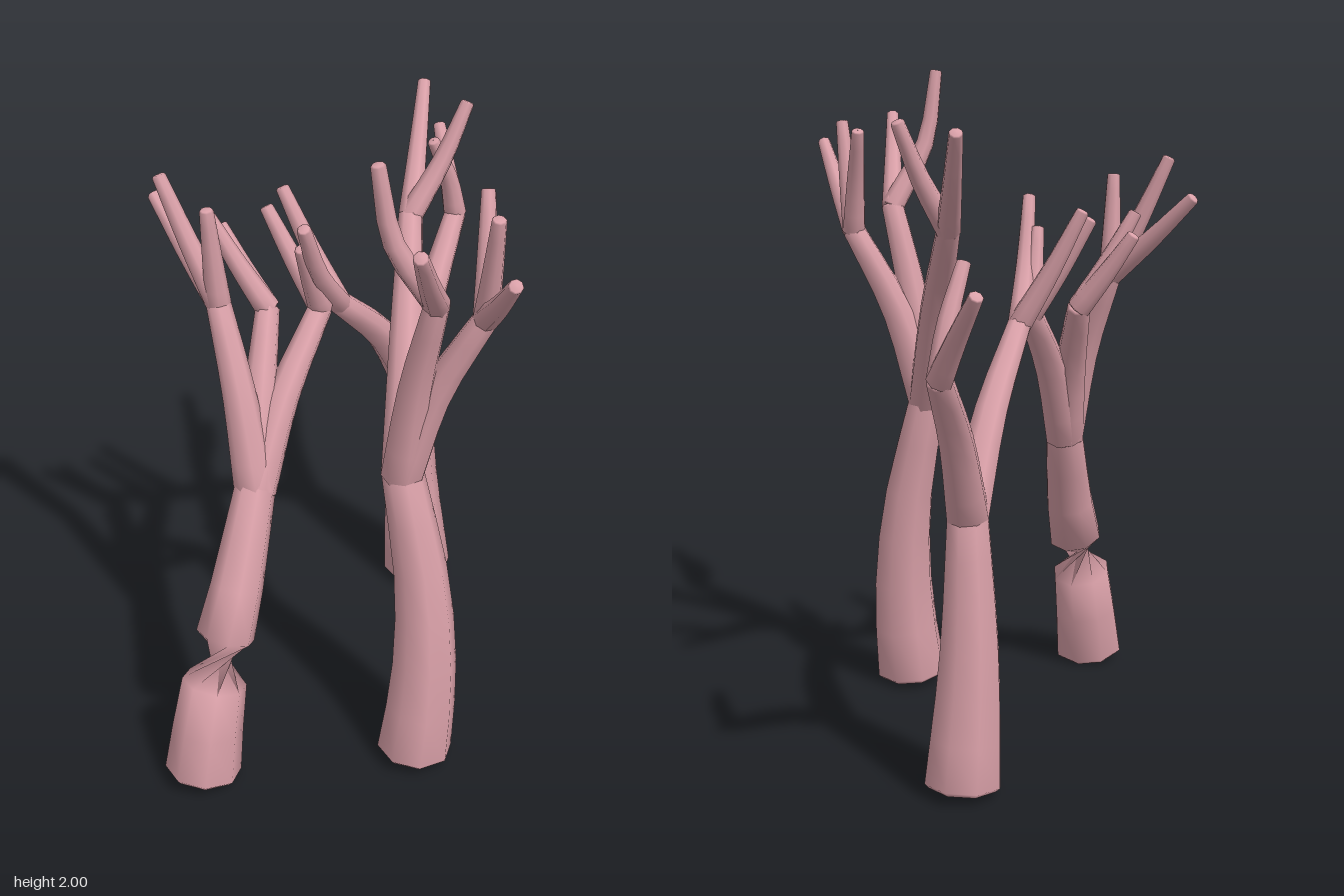
import * as THREE from 'three';

const bark = new THREE.MeshStandardMaterial({ color: 0xd9a0a8, side: THREE.DoubleSide });
bark.name = 'pink bark';

const SIDES = 8;
const SEGMENTS = 6;

// Tapered, softly capped limb along a smooth path; rings after twistAt are turned half a circle
function limb(name, path, r0, r1, twistAt = 2) {
  const curve = new THREE.CatmullRomCurve3(path);
  const frames = curve.computeFrenetFrames(SEGMENTS);
  const pos = [], index = [];
  let rings = 0;
  const ring = (i, scale, push) => {
    const t = i / SEGMENTS, r = r0 + (r1 - r0) * t;
    const c = curve.getPointAt(t).addScaledVector(frames.tangents[i], push * r);
    for (let j = 0; j < SIDES; j++) {
      const a = (j / SIDES) * Math.PI * 2 + (t > twistAt ? Math.PI : 0);
      const v = c.clone()
        .addScaledVector(frames.normals[i], Math.cos(a) * r * scale)
        .addScaledVector(frames.binormals[i], Math.sin(a) * r * scale);
      pos.push(v.x, v.y, v.z);
    }
    rings++;
  };
  ring(0, 0.01, -0.14);
  ring(0, 0.88, -0.12);
  for (let i = 0; i <= SEGMENTS; i++) ring(i, 1, 0);
  ring(SEGMENTS, 0.8, 0.2);
  ring(SEGMENTS, 0.01, 0.25);
  for (let k = 0; k < rings - 1; k++) {
    for (let j = 0; j < SIDES; j++) {
      const a = k * SIDES + j, b = k * SIDES + (j + 1) % SIDES;
      index.push(a, b, a + SIDES, b, b + SIDES, a + SIDES);
    }
  }
  const g = new THREE.BufferGeometry();
  g.setAttribute('position', new THREE.Float32BufferAttribute(pos, 3));
  g.setIndex(index);
  g.computeVertexNormals();
  const mesh = new THREE.Mesh(g, bark);
  mesh.name = name;
  return mesh;
}

// Three-point path whose middle has covered the share h of the way sideways and v of the way up
function bow(from, to, h, v) {
  const mid = new THREE.Vector3(
    THREE.MathUtils.lerp(from.x, to.x, h),
    THREE.MathUtils.lerp(from.y, to.y, v),
    THREE.MathUtils.lerp(from.z, to.z, h));
  return [from, mid, to];
}

// Trunk that forks into branches, each ending in a fan of twigs; a tip is [x, y, z, h]
function tree(name, trunkPoints, branches, twistAt) {
  const group = new THREE.Group();
  group.name = name;
  const trunk = trunkPoints.map(p => new THREE.Vector3(...p));
  group.add(limb('trunk', trunk, 0.115, 0.061, twistAt));
  const fork = trunk[trunk.length - 1].clone();
  fork.y -= 0.01;
  for (const { end, tips } of branches) {
    const joint = new THREE.Vector3(...end);
    group.add(limb('branch', bow(fork, joint, 0.42, 0.54), 0.063, 0.036));
    for (const [x, y, z, h = 0.5] of tips) {
      group.add(limb('twig', bow(joint, new THREE.Vector3(x, y, z), h, 0.47), 0.037, 0.02));
    }
  }
  return group;
}

export function createModel() {
  const model = new THREE.Group();
  model.name = 'branchingTrees';
  model.add(
    tree('middleTree', [[-0.325, 0.03, 0.288], [-0.295, 0.3, 0.3], [-0.27, 0.6, 0.275], [-0.26, 0.97, 0.195]], [
      { end: [-0.18, 1.5, 0.41], tips: [[-0.4, 1.76, 0.635], [-0.07, 1.81, 0.335, 0.4], [-0.24, 1.83, 0.48]] },
      { end: [-0.3, 1.57, 0.335], tips: [[-0.43, 1.985, 0.245, 0.75], [-0.55, 1.845, 0.46]] },
      { end: [0.13, 1.55, -0.06], tips: [[0.3, 1.855, 0.015, 0.55], [0.405, 1.835, -0.21]] },
    ]),
    tree('leftTree', [[0.43, 0.03, -0.245], [0.41, 0.4, -0.255], [0.39, 0.8, -0.24]], [
      { end: [-0.005, 1.27, -0.225], tips: [[-0.03, 1.6, -0.405], [-0.24, 1.62, -0.155, 0.6]] },
      { end: [0.75, 1.24, -0.325], tips: [[0.65, 1.525, -0.345, 0.3], [0.875, 1.475, -0.48, 0.45]] },
    ]),
    // This trunk is wrung to a pinch above its foot
    tree('rightTree', [[-0.78, 0.03, -0.17], [-0.715, 0.31, -0.165], [-0.6, 0.57, -0.165], [-0.445, 0.86, -0.2]], [
      { end: [-0.37, 1.38, -0.37], tips: [[-0.32, 1.625, -0.64], [-0.395, 1.735, -0.54], [-0.4, 1.68, -0.365]] },
      { end: [-0.2, 1.3, -0.335], tips: [[-0.27, 1.58, -0.48], [-0.2, 1.52, -0.5]] },
      { end: [-0.09, 1.29, -0.225], tips: [[-0.11, 1.57, -0.4], [-0.2, 1.53, -0.2]] },
    ], 0.4),
  );
  return model;
}
